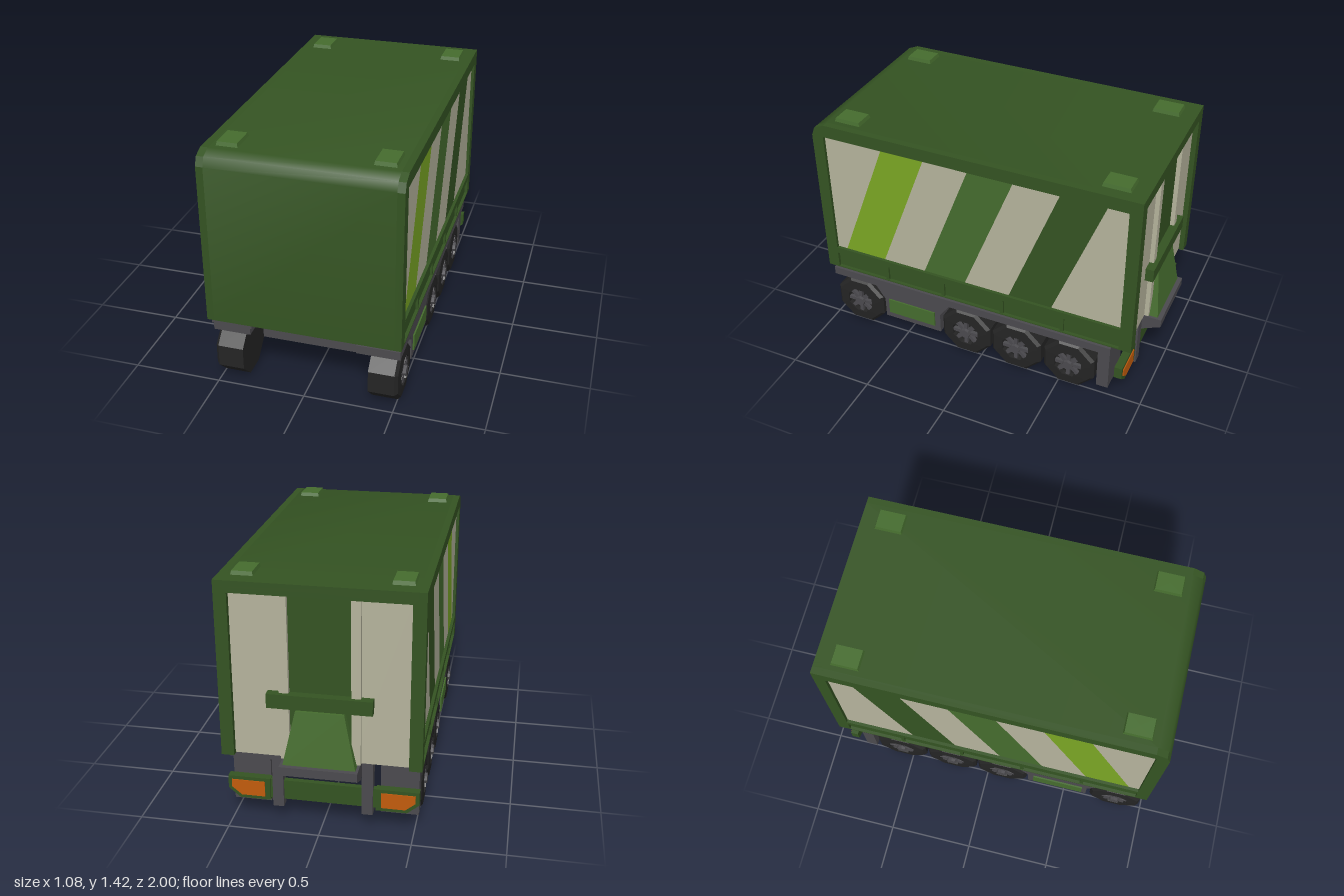
import * as THREE from 'three';
import { toCreasedNormals } from 'three/addons/utils/BufferGeometryUtils.js';

const mat = (name, color, side = THREE.FrontSide) => {
  const m = new THREE.MeshStandardMaterial({ color, side });
  m.name = name;
  return m;
};

export function createModel() {
  const model = new THREE.Group();
  model.name = 'boxTrailer';
  const green = mat('darkGreen', 0x345322, THREE.DoubleSide);
  const mid = mat('midGreen', 0x456c2e, THREE.DoubleSide);
  const lime = mat('limeGreen', 0x7aa624, THREE.DoubleSide);
  const cream = mat('cream', 0xb5b39c, THREE.DoubleSide);
  const grey = mat('chassisGrey', 0x4b4a4e);
  const rubber = mat('tyreBlack', 0x242424);
  const orange = mat('orange', 0xc25c0c, THREE.DoubleSide);

  const add = (name, geo, material, parent = model) => {
    const m = new THREE.Mesh(geo, material);
    m.name = name;
    parent.add(m);
    return m;
  };
  // box given by its limits on each axis
  const box = (name, material, x0, x1, y0, y1, z0, z1, parent) => {
    const g = new THREE.BoxGeometry(Math.abs(x1 - x0), y1 - y0, Math.abs(z1 - z0));
    g.translate((x0 + x1) / 2, (y0 + y1) / 2, (z0 + z1) / 2);
    return add(name, g, material, parent);
  };
  const poly = (pts) => new THREE.Shape(pts.map(([a, b]) => new THREE.Vector2(a, b)));
  const rect = (a0, a1, b0, b1) => poly([[a0, b0], [a1, b0], [a1, b1], [a0, b1]]);
  // extrude a (z, y) outline across x
  const acrossX = (shape, xa, xb) => {
    const g = new THREE.ExtrudeGeometry(shape, { depth: Math.abs(xb - xa), bevelEnabled: false });
    return g.rotateY(-Math.PI / 2).translate(Math.max(xa, xb), 0, 0);
  };
  // extrude an (x, y) outline along z
  const alongZ = (shape, z0, z1) =>
    new THREE.ExtrudeGeometry(shape, { depth: z1 - z0, bevelEnabled: false }).translate(0, 0, z0);

  // Body shell: front wall, rounded edge and roof, open underneath
  const rim = [[1, 0.405], [1, 1.32], [0.98, 1.37], [0.92, 1.395], [-0.93, 1.395]];
  const shell = poly([...rim, [-0.93, 1.36], [0.91, 1.36], [0.95, 1.34], [0.965, 1.31], [0.965, 0.405]]);
  add('roofAndFront', toCreasedNormals(acrossX(shell, -0.5, 0.5), 0.9), green);

  // Side walls with recessed, striped panels
  const tops = [0.93, 0.57, 0.31, 0.045, -0.22, -0.485, -0.745, -0.865];
  const bottoms = [0.93, 0.87, 0.61, 0.345, 0.085, -0.19, -0.45, -0.865];
  const bands = [cream, lime, cream, mid, cream, green, cream];
  for (const s of [1, -1]) {
    const side = new THREE.Group();
    side.name = s > 0 ? 'leftWall' : 'rightWall';
    model.add(side);
    const frame = poly([...rim, [-0.93, 0.405]]);
    frame.holes.push(rect(-0.865, 0.93, 0.55, 1.32), rect(-0.865, 0.93, 0.412, 0.51));
    add('sideFrame', acrossX(frame, s * 0.5, s * 0.54), green, side);
    bands.forEach((m, i) => {
      const band = poly([[tops[i], 1.32], [bottoms[i], 0.55], [bottoms[i + 1], 0.55], [tops[i + 1], 1.32]]);
      add('panelBand', new THREE.ShapeGeometry(band).rotateY(-Math.PI / 2).translate(s * 0.522, 0, 0), m, side);
    });
    box('lowerPanel', green, s * 0.515, s * 0.522, 0.412, 0.51, -0.865, 0.93, side);
    for (const z of [0.595, 0.225, -0.15, -0.52])
      box('lowerRib', green, s * 0.522, s * 0.536, 0.412, 0.51, z - 0.01, z + 0.01, side);
  }

  // Rear: door frame, doors, centre strip and upright poles
  const arch = poly([[-0.54, 0.405], [-0.47, 0.405], [-0.47, 1.33], [0.47, 1.33], [0.47, 0.405],
    [0.54, 0.405], [0.54, 1.395], [-0.54, 1.395]]);
  add('rearFrame', alongZ(arch, -0.93, -0.86), green);
  for (const s of [1, -1]) {
    box('rearDoor', cream, s * 0.17, s * 0.47, 0.41, 1.33, -0.9, -0.88);
    box('doorPole', cream, s * 0.165, s * 0.215, 0.41, 1.33, -0.925, -0.9);
  }
  box('centreStrip', green, -0.17, 0.17, 0.41, 1.33, -0.9, -0.88);
  box('rearBar', green, -0.28, 0.28, 0.715, 0.795, -0.948, -0.9);

  // Sloped rear cover, wider at its foot
  const cover = new THREE.BoxGeometry(1, 0.3, 1).translate(0, 0.55, 0);
  const p = cover.attributes.position;
  for (let i = 0; i < p.count; i++) {
    const high = p.getY(i) > 0.55;
    p.setX(i, Math.sign(p.getX(i)) * (high ? 0.13 : 0.195));
    p.setZ(i, p.getZ(i) > 0 ? -0.89 : high ? -0.935 : -0.975);
  }
  cover.computeVertexNormals();
  add('rearCover', cover, mid);

  // Roof pads, slightly tapered
  for (const x of [-0.4125, 0.4125]) for (const z of [0.8075, -0.7625]) {
    const g = new THREE.CylinderGeometry(0.65, 0.7071, 0.022, 4).rotateY(Math.PI / 4).scale(0.118, 1, 0.158);
    add('roofPad', toCreasedNormals(g, 0.3).translate(x, 1.405, z), mid);
  }

  // Chassis sides: rails, toolbox skirts and mudflaps
  const skirt = poly([[0.71, 0.335], [0.64, 0.23], [0.64, 0.1], [0.265, 0.1], [0.265, 0.23], [0.19, 0.335]]);
  box('leftRail', grey, 0.29, 0.53, 0.33, 0.38, -0.81, 0.975);
  box('rightRailTop', grey, -0.525, -0.295, 0.37, 0.405, -0.81, 0.975);
  box('rightRail', grey, -0.515, -0.305, 0.33, 0.37, -0.81, 0.975);
  for (const s of [1, -1]) {
    add('skirt', acrossX(skirt, s * 0.305, s * 0.515), grey);
    box('skirtPanel', mid, s * 0.5, s * 0.524, 0.14, 0.24, 0.3, 0.61);
    box('mudflap', grey, s * 0.305, s * 0.515, 0.065, 0.34, -0.805, -0.735);
    box('rearPost', grey, s * 0.215, s * 0.275, 0.09, 0.405, -0.89, -0.83);
  }
  box('frontCrossBeam', grey, -0.355, 0.355, 0.095, 0.235, 0.6, 0.66);
  box('crossBar', mid, -0.5, 0.5, 0.14, 0.246, 0.53, 0.6);
  box('midCrossBeam', grey, -0.31, 0.31, 0.29, 0.35, 0.1, 0.22);

  // Rear shelf with a sloped underside
  const shelf = poly([[-0.83, 0.4], [-1, 0.4], [-1, 0.35], [-0.89, 0.3], [-0.83, 0.3]]);
  add('rearShelf', acrossX(shelf, -0.21, 0.21), grey);

  // Rear bumper and lamps
  box('bumper', green, -0.3, 0.3, 0.13, 0.245, -0.875, -0.845);
  for (const s of [1, -1]) {
    const housing = poly([[s * 0.29, 0.12], [s * 0.46, 0.12], [s * 0.525, 0.175], [s * 0.525, 0.25], [s * 0.29, 0.25]]);
    add('lampHousing', alongZ(housing, -0.885, -0.84), green);
    const lamp = poly([[s * 0.32, 0.14], [s * 0.45, 0.14], [s * 0.505, 0.185], [s * 0.505, 0.23], [s * 0.32, 0.23]]);
    add('lamp', alongZ(lamp, -0.89, -0.884), orange);
  }

  // Eight-sided wheels with spoked hubs
  const profile = [[0, -0.08], [0.168, -0.08], [0.168, 0.065], [0.15, 0.082], [0.088, 0.087], [0.085, 0.06], [0, 0.06]];
  const tyre = new THREE.LatheGeometry(profile.map(([r, h]) => new THREE.Vector2(r, h)), 8, Math.PI / 8);
  const tyreGeo = toCreasedNormals(tyre.rotateZ(-Math.PI / 2), 0.3);
  const hubGeo = toCreasedNormals(new THREE.CylinderGeometry(0.03, 0.034, 0.04, 8).rotateZ(-Math.PI / 2), 0.5)
    .translate(0.078, 0, 0);
  const spokeGeo = new THREE.BoxGeometry(0.022, 0.06, 0.022).translate(0.07, 0.054, 0);
  for (const s of [1, -1]) for (const z of [0.82, 0.095, -0.23, -0.56]) {
    const wheel = new THREE.Group();
    wheel.name = 'wheel';
    add('tyre', tyreGeo, rubber, wheel);
    add('hub', hubGeo, grey, wheel);
    for (let i = 0; i < 8; i++) add('spoke', spokeGeo, grey, wheel).rotation.x = (i * Math.PI) / 4;
    wheel.position.set(s * 0.435, 0.156, z);
    if (s < 0) wheel.rotation.y = Math.PI;
    model.add(wheel);
  }
  return model;
}
